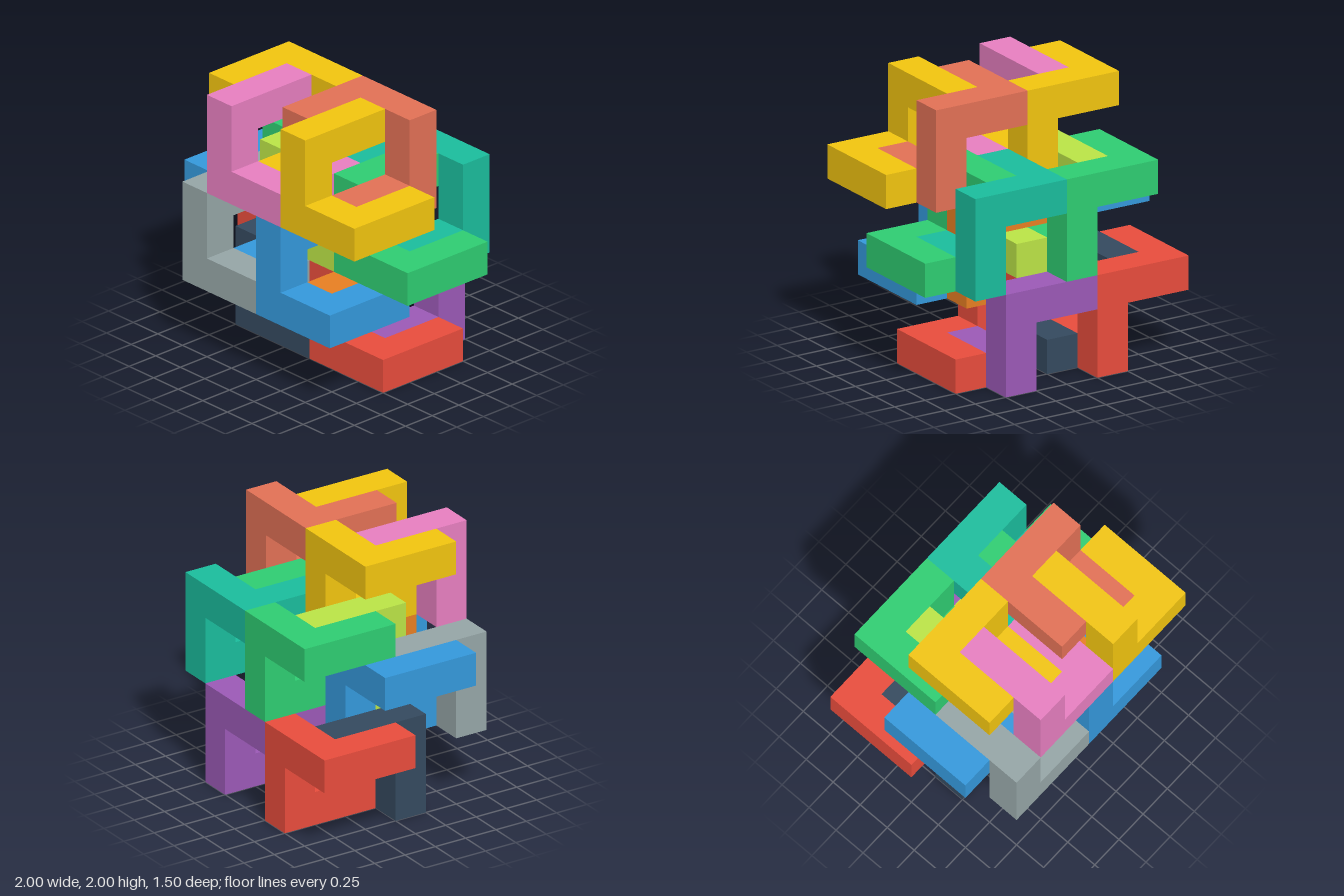
import * as THREE from 'three';

const CELL = 0.25;

// Two bent-rod paths through the corners of a 3 x 3 x 3 block of cells
const FRONT_PATH = [[0, 2, 0], [0, 2, 2], [0, 0, 2], [2, 0, 2], [2, 0, 0]];
const BACK_PATH = [[0, 2, 2], [0, 2, 0], [2, 2, 0], [2, 0, 0], [2, 0, 2]];

// name, color, path, lowest cell of the block (x, y, z)
const PIECES = [
  ['upperRightHook', 0xf1c40f, FRONT_PATH, [5, 5, 3]],
  ['upperLeftHook', 0xe67ebf, FRONT_PATH, [2, 5, 3]],
  ['middleLeftHook', 0x95a5a6, FRONT_PATH, [1, 2, 3]],
  ['middleRightHook', 0x3498db, FRONT_PATH, [4, 2, 3]],
  ['lowerLeftHook', 0x34495e, FRONT_PATH, [1, 0, 1]],
  ['lowerRightHook', 0xe74c3c, FRONT_PATH, [4, 0, 1]],
  ['innerRightHook', 0x2ecc71, FRONT_PATH, [5, 3, 1]],
  ['innerLeftHook', 0xbae346, FRONT_PATH, [2, 3, 1]],
  ['upperLeftClasp', 0xf1c40f, BACK_PATH, [1, 5, 2]],
  ['upperRightClasp', 0xe17055, BACK_PATH, [4, 5, 2]],
  ['middleLeftClasp', 0x3498db, BACK_PATH, [0, 2, 2]],
  ['middleRightClasp', 0xe67e22, BACK_PATH, [3, 2, 2]],
  ['rearRightClasp', 0x1abc9c, BACK_PATH, [4, 3, 0]],
  ['rearLeftClasp', 0x2ecc71, BACK_PATH, [1, 3, 0]],
  ['lowerRightClasp', 0x9b59b6, BACK_PATH, [3, 0, 0]],
  ['lowerLeftClasp', 0xe74c3c, BACK_PATH, [0, 0, 0]],
];

// Square rod covering every cell from a to b
function rod(a, b, material) {
  const size = a.map((v, i) => (Math.abs(b[i] - v) + 1) * CELL);
  const mid = a.map((v, i) => ((v + b[i] + 1) / 2) * CELL);
  const mesh = new THREE.Mesh(new THREE.BoxGeometry(...size), material);
  mesh.position.set(...mid);
  mesh.name = 'rod';
  return mesh;
}

// Four rods end to end; each later rod starts one cell past the shared corner
function bentPiece(name, color, path, origin) {
  const piece = new THREE.Group();
  piece.name = name;
  const material = new THREE.MeshStandardMaterial({ color });
  for (let s = 0; s < path.length - 1; s++) {
    const end = path[s + 1];
    const start = path[s].map((v, i) => (s > 0 ? v + Math.sign(end[i] - v) : v));
    piece.add(rod(start, end, material));
  }
  piece.position.set(
    origin[0] * CELL - 1,
    origin[1] * CELL,
    origin[2] * CELL - 0.75
  );
  return piece;
}

export function createModel() {
  const model = new THREE.Group();
  model.name = 'interlockingBlocks';
  for (const spec of PIECES) model.add(bentPiece(...spec));
  return model;
}
